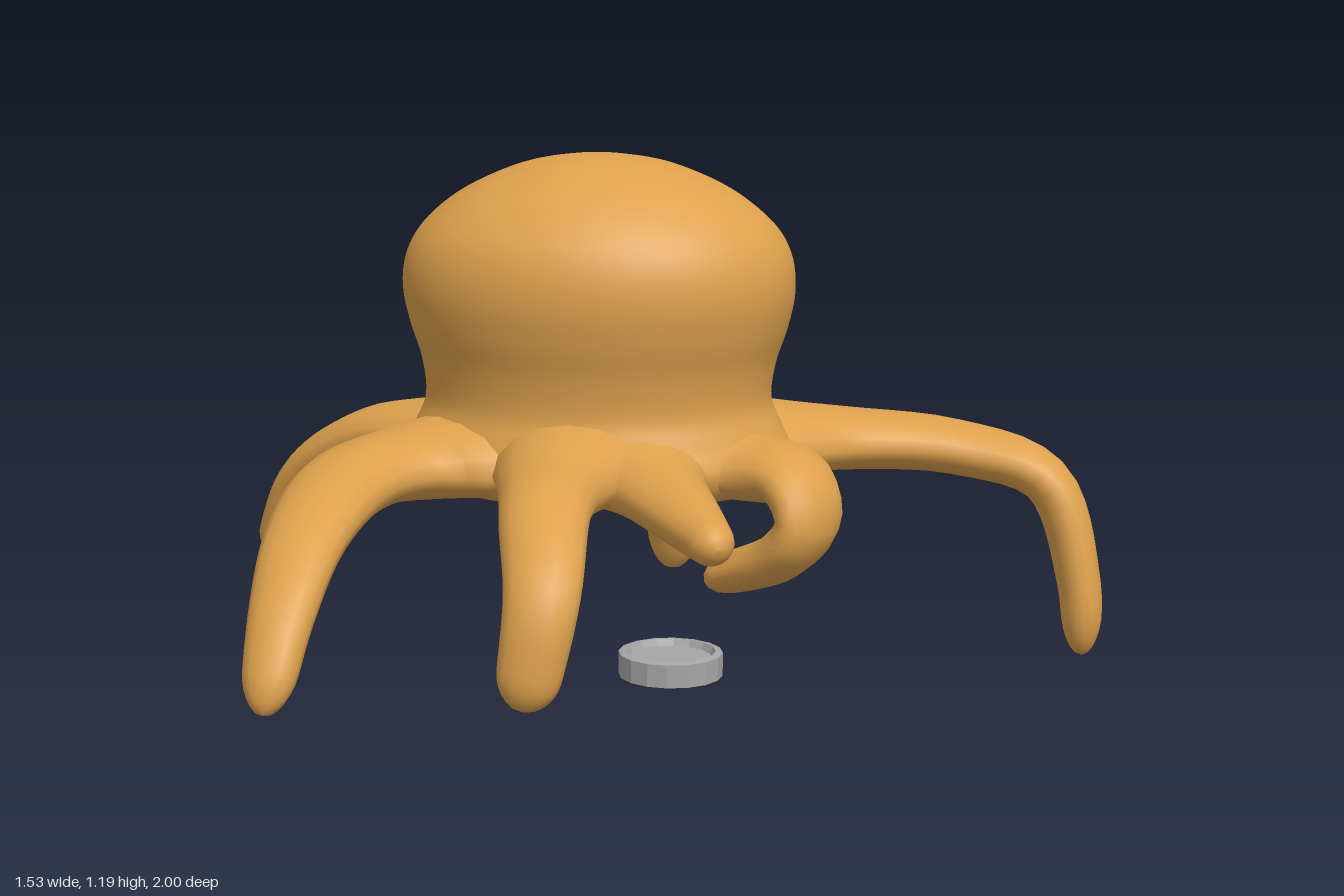
import * as THREE from 'three';

const skin = new THREE.MeshStandardMaterial({ color: 0xdea14d });
skin.name = 'orange skin';
const metal = new THREE.MeshStandardMaterial({ color: 0xa6a6a6, flatShading: true });
metal.name = 'grey metal';

const hub = new THREE.Vector3(0.04, 0.53, -0.09);

// Tapered arm with oval cross-sections, flaring into the body at its root
function makeArm(name, rootWidth, tipWidth, ...points) {
  const path = points.map((p) => new THREE.Vector3(...p));
  path.unshift(path[0].clone().lerp(hub, 0.5));
  const curve = new THREE.CatmullRomCurve3(path);
  const reach = path[path.length - 1].clone().sub(path[0]);
  const across = new THREE.Vector3(-reach.z, 0, reach.x).normalize();
  const rings = 32, sides = 16, pos = [], idx = [];
  for (let i = 0; i <= rings; i++) {
    // rings bunch up towards the rounded tip
    const t = 1 - Math.pow(1 - i / rings, 1.5);
    const p = curve.getPointAt(t), tangent = curve.getTangentAt(t);
    const lat = across.clone().addScaledVector(tangent, -across.dot(tangent)).normalize();
    const down = new THREE.Vector3().crossVectors(tangent, lat);
    const k = Math.max(0, (t - 0.92) / 0.08);
    const cap = Math.max(0.01, Math.sqrt(Math.max(0, 1 - k * k)));
    const flare = Math.exp(-((t / 0.22) ** 2));
    const w = (THREE.MathUtils.lerp(rootWidth, tipWidth, Math.pow(t, 1.4)) + 0.07 * flare) * cap;
    const h = THREE.MathUtils.lerp(0.065, 0.042, t * t) * cap;
    for (let j = 0; j < sides; j++) {
      const a = (j / sides) * Math.PI * 2;
      const lift = Math.sin(a) < 0 ? h + 0.06 * flare : h;
      const q = p.clone().addScaledVector(lat, Math.cos(a) * w).addScaledVector(down, Math.sin(a) * lift);
      pos.push(q.x, q.y, q.z);
      if (i < rings) {
        const n = (j + 1) % sides, r = i * sides, s = r + sides;
        idx.push(r + j, r + n, s + n, r + j, s + n, s + j);
      }
    }
  }
  const geometry = new THREE.BufferGeometry();
  geometry.setAttribute('position', new THREE.Float32BufferAttribute(pos, 3));
  geometry.setIndex(idx);
  geometry.computeVertexNormals();
  const arm = new THREE.Mesh(geometry, skin);
  arm.name = name;
  return arm;
}

const toProfile = (points) => points.map(([x, y]) => new THREE.Vector2(x, y));

function createModel() {
  const model = new THREE.Group();
  model.name = 'octopus';

  // Head and body: an oval revolved form with a waist and a flared hem
  const outline = new THREE.SplineCurve(toProfile([
    [0, 0.465], [0.5, 0.467], [0.88, 0.485], [1, 0.545], [0.94, 0.61], [0.885, 0.67], [0.905, 0.75], [0.965, 0.83],
    [1, 0.91], [0.975, 0.985], [0.88, 1.05], [0.68, 1.117], [0.4, 1.17], [0.15, 1.191], [0, 1.194],
  ])).getPoints(70);
  const bodyGeometry = new THREE.LatheGeometry(outline, 40);
  bodyGeometry.scale(0.425, 1, 0.335).rotateY(0.72).translate(0.035, 0, -0.09);
  const body = new THREE.Mesh(bodyGeometry, skin);
  body.name = 'headAndBody';
  model.add(body);

  // Eight arms, each listed from the body's edge to the tip
  model.add(makeArm('frontArm', 0.135, 0.05,
    [-0.1, 0.54, 0.3], [-0.07, 0.545, 0.48], [0.1, 0.495, 0.73], [0.22, 0.38, 0.88], [0.3, 0.21, 0.985]));
  model.add(makeArm('frontLeftArm', 0.11, 0.06,
    [0.3, 0.555, 0.25], [0.45, 0.545, 0.4], [0.6, 0.43, 0.53], [0.615, 0.215, 0.59]));
  model.add(makeArm('leftArm', 0.12, 0.04,
    [0.4, 0.54, 0.06], [0.76, 0.505, 0.21]));
  model.add(makeArm('curledLeftArm', 0.115, 0.08,
    [0.38, 0.545, -0.22], [0.52, 0.54, -0.22], [0.58, 0.465, -0.2], [0.52, 0.39, -0.19], [0.32, 0.305, -0.19]));
  model.add(makeArm('backLeftArm', 0.135, 0.05,
    [0.18, 0.54, -0.42], [0.26, 0.535, -0.62], [0.42, 0.52, -0.8], [0.6, 0.46, -0.905], [0.69, 0.25, -0.92], [0.715, 0.085, -0.91]));
  model.add(makeArm('backRightArm', 0.13, 0.06,
    [-0.06, 0.54, -0.42], [-0.2, 0.52, -0.6], [-0.45, 0.44, -0.775], [-0.62, 0.25, -0.89], [-0.675, 0.11, -0.94], [-0.695, 0, -0.95]));
  model.add(makeArm('rightArm', 0.12, 0.06,
    [-0.36, 0.55, -0.34], [-0.53, 0.505, -0.41], [-0.65, 0.36, -0.445], [-0.6, 0.2, -0.44]));
  model.add(makeArm('frontRightArm', 0.145, 0.06,
    [-0.28, 0.555, 0.08], [-0.46, 0.535, 0.14], [-0.64, 0.42, 0.2], [-0.745, 0.22, 0.23]));

  // Small round dish with a rim, recessed above and below
  const dishProfile = toProfile([
    [0, 0.14], [0.088, 0.14], [0.095, 0.13], [0.11, 0.133], [0.11, 0.182], [0.095, 0.185], [0.088, 0.17], [0, 0.17],
  ]);
  const dish = new THREE.Mesh(new THREE.LatheGeometry(dishProfile, 16), metal);
  dish.name = 'dish';
  dish.position.x = 0.38;
  model.add(dish);

  return model;
}

export { createModel };
